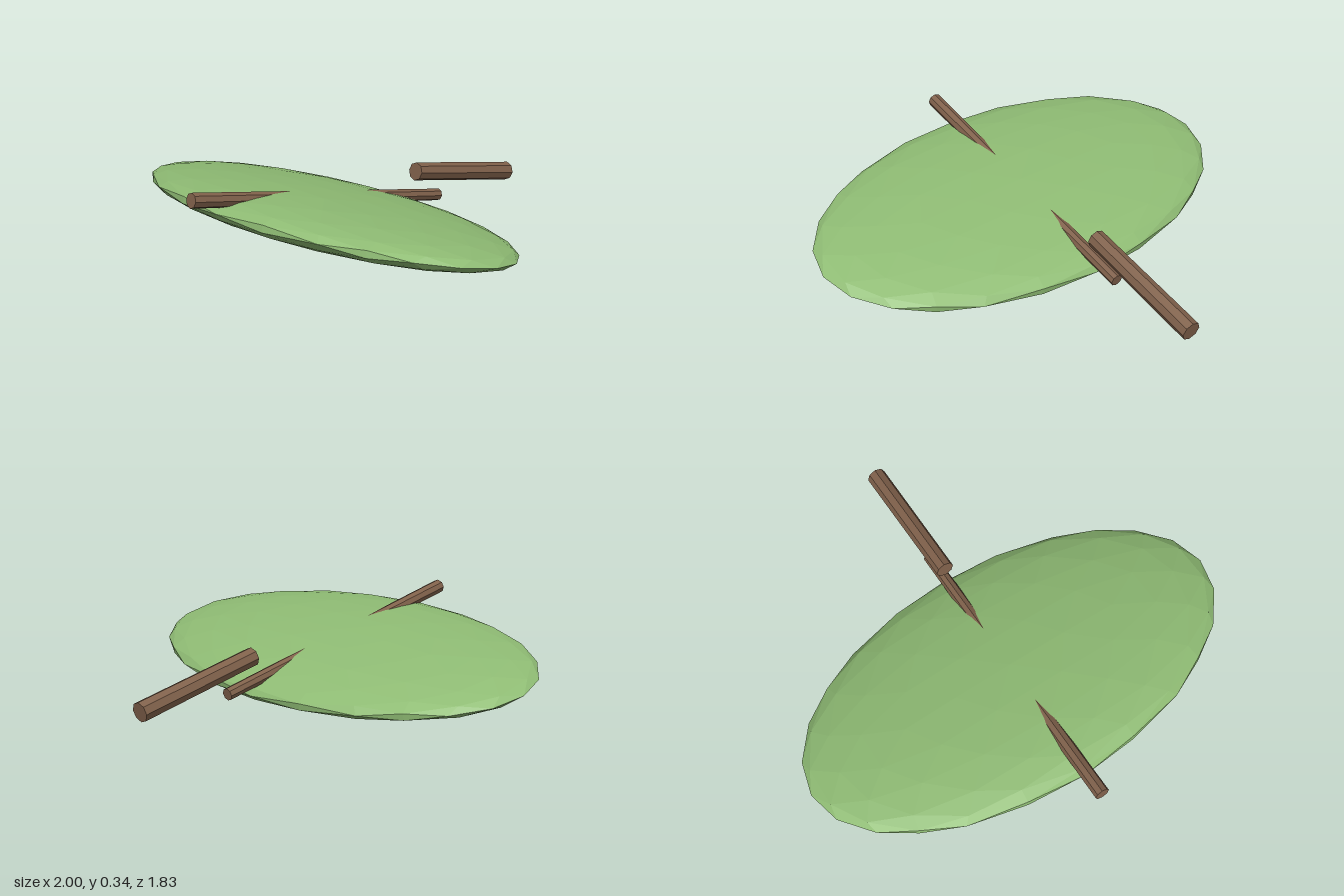
import * as THREE from 'three';

const TILT = THREE.MathUtils.degToRad(10);
const green = new THREE.MeshStandardMaterial({ color: 0x8fbc74, flatShading: true });
const brown = new THREE.MeshStandardMaterial({ color: 0x80614b, flatShading: true });

// Unit icosphere: each triangle is split in four and pushed out to the sphere
function icosphere(levels) {
  let points = [];
  const base = new THREE.IcosahedronGeometry(1, 0).attributes.position;
  for (let i = 0; i < base.count; i++) points.push(new THREE.Vector3().fromBufferAttribute(base, i));
  const mid = (a, b) => a.clone().add(b).normalize();
  for (let l = 0; l < levels; l++) {
    const next = [];
    for (let i = 0; i < points.length; i += 3) {
      const [a, b, c] = points.slice(i, i + 3);
      const ab = mid(a, b), bc = mid(b, c), ca = mid(c, a);
      next.push(a, ab, ca, ab, b, bc, ca, bc, c, ab, bc, ca);
    }
    points = next;
  }
  return new THREE.BufferGeometry().setFromPoints(points);
}

// Eight-sided rod leaning with the leaf, its front end raised
function rod(name, frontRadius, backRadius, length, y, z) {
  const geometry = new THREE.CylinderGeometry(frontRadius, backRadius, length, 8);
  const mesh = new THREE.Mesh(geometry, brown);
  mesh.name = name;
  mesh.rotation.x = Math.PI / 2 - TILT;
  mesh.position.set(0, y, z);
  return mesh;
}

export function createModel() {
  const group = new THREE.Group();
  group.name = 'leaf';

  // Flattened oval blade
  const geometry = icosphere(2).scale(1, 0.095, 0.567);
  geometry.computeVertexNormals();
  const blade = new THREE.Mesh(geometry, green);
  blade.name = 'blade';
  blade.rotation.x = -TILT;
  blade.position.set(0, 0.137, 0.24);
  group.add(blade);

  // Midrib running through the blade, and the separate stem behind it
  group.add(rod('midrib', 0.032, 0.027, 1.383, 0.194, 0.233));
  group.add(rod('stem', 0.041, 0.043, 0.613, 0.156, -0.606));
  return group;
}
